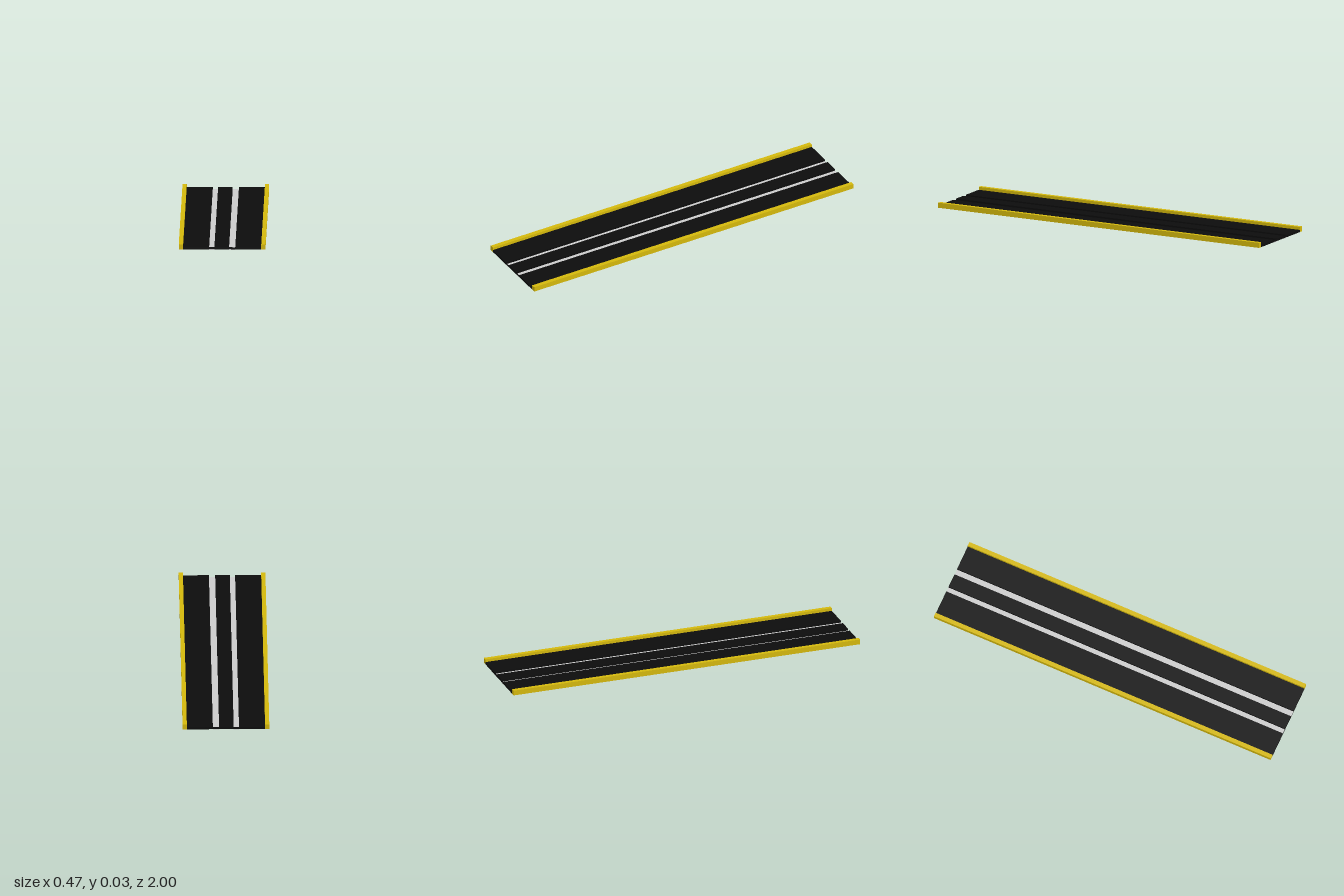
import * as THREE from 'three';

const LENGTH = 2;
const black = new THREE.MeshStandardMaterial({ color: 0x0c0c0c });
const yellow = new THREE.MeshStandardMaterial({ color: 0xd4b80c });
const grey = new THREE.MeshStandardMaterial({ color: 0xcccccc });

// Full-length bar spanning x0..x1 and y0..y1
function bar(name, x0, x1, y0, y1, material) {
  const mesh = new THREE.Mesh(new THREE.BoxGeometry(x1 - x0, y1 - y0, LENGTH), material);
  mesh.position.set((x0 + x1) / 2, (y0 + y1) / 2, 0);
  mesh.name = name;
  return mesh;
}

export function createModel() {
  const road = new THREE.Group();
  road.name = 'road';
  const bottom = 0.003, top = 0.015, inner = 0.212, outer = 0.235;
  const slots = [[-0.071, -0.042], [0.037, 0.071]];

  // Road deck: three slabs separated by two slots
  road.add(
    bar('rightLane', -inner, slots[0][0], bottom, top, black),
    bar('middleLane', slots[0][1], slots[1][0], bottom, top, black),
    bar('leftLane', slots[1][1], inner, bottom, top, black),
  );

  // Recessed lane lines at the bottom of the slots, with closed slot ends
  for (const [x0, x1] of slots) {
    road.add(bar('laneLine', x0, x1, 0, bottom + 0.001, grey));
    for (const side of [1, -1]) {
      const cap = new THREE.Mesh(new THREE.PlaneGeometry(x1 - x0, top - bottom), black);
      cap.name = 'slotEnd';
      cap.position.set((x0 + x1) / 2, (top + bottom) / 2, side * LENGTH / 2);
      if (side < 0) cap.rotation.y = Math.PI;
      road.add(cap);
    }
  }

  // Raised side barriers
  road.add(
    bar('leftBarrier', inner, outer, bottom, 0.031, yellow),
    bar('rightBarrier', -outer, -inner, bottom, 0.031, yellow),
  );
  return road;
}
